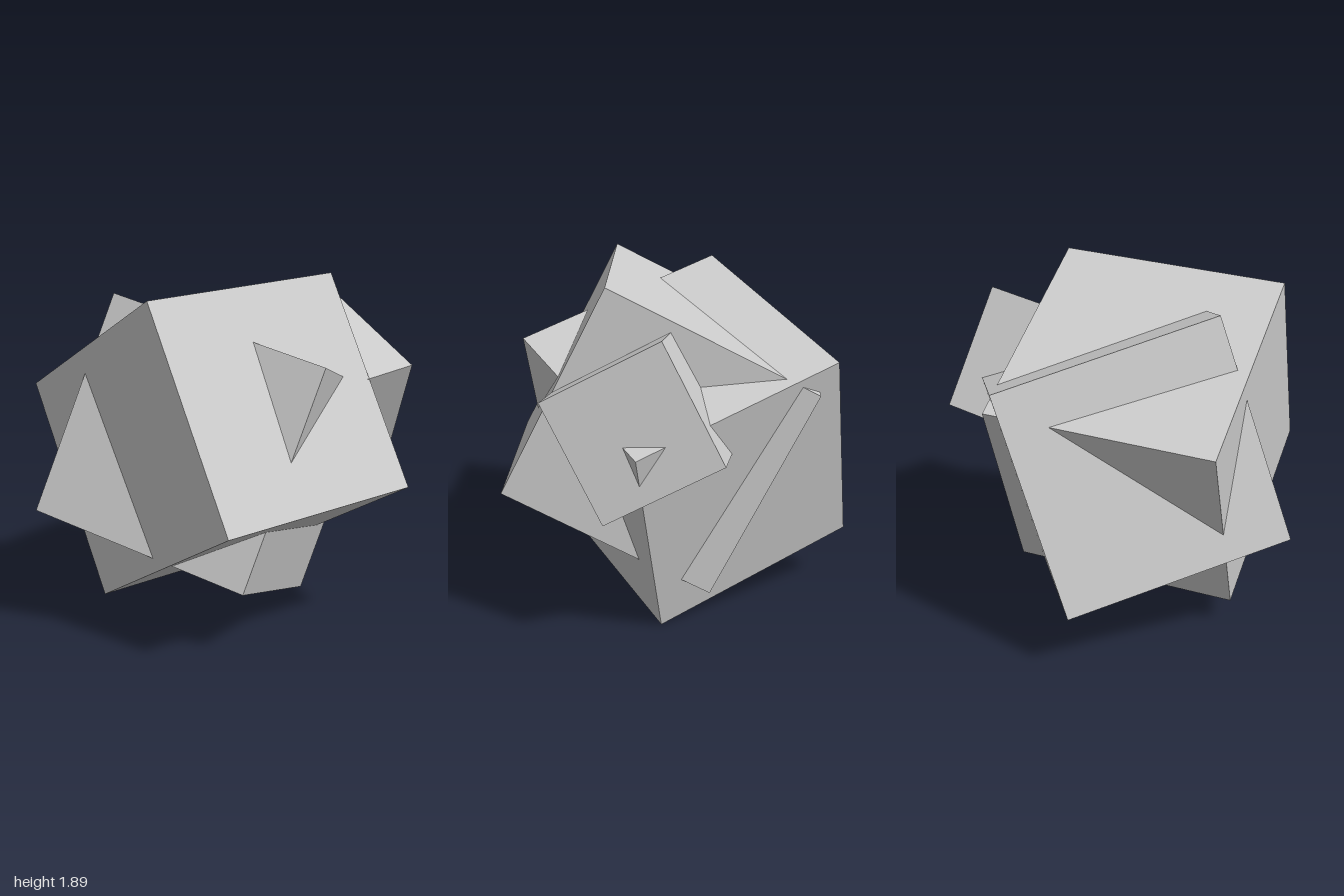
import * as THREE from 'three';

export function createModel() {
  const group = new THREE.Group();
  const grey = new THREE.MeshStandardMaterial({ color: 0xcccccc });
  grey.name = 'lightGrey';

  // A cube turned so that its local x and y axes follow the given directions
  function addCube(name, side, centre, xDir, yDir) {
    const x = new THREE.Vector3(...xDir).normalize();
    const z = new THREE.Vector3().crossVectors(x, new THREE.Vector3(...yDir)).normalize();
    const y = new THREE.Vector3().crossVectors(z, x);
    const cube = new THREE.Mesh(new THREE.BoxGeometry(side, side, side), grey);
    cube.name = name;
    cube.quaternion.setFromRotationMatrix(new THREE.Matrix4().makeBasis(x, y, z));
    cube.position.set(...centre);
    group.add(cube);
  }

  // Two large interlocking cubes and a smaller one at the back
  addCube('mainCube', 1.25, [0, 1.018, 0.131], [0.39, 0.065, -1.19], [0.56, -1.115, 0.115]);
  addCube('crossingCube', 1.235, [-0.115, 0.903, 0.008], [-0.31, -0.325, -1.145], [-0.25, -1.14, 0.385]);
  addCube('smallBackCube', 0.7, [0.28, 1.188, -0.45], [-0.58, 0.33, -0.21], [-0.27, -0.6, -0.235]);

  return group;
}
